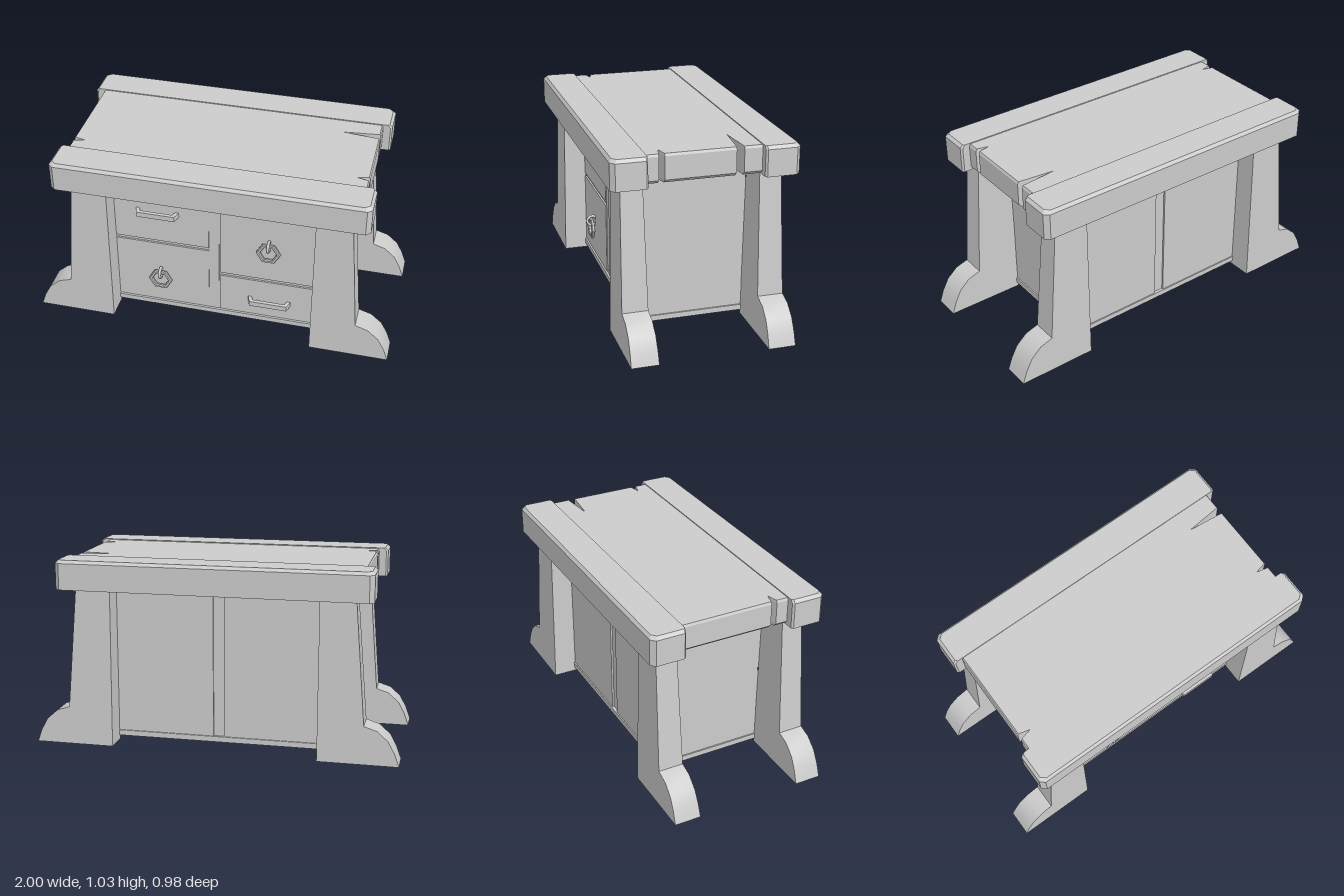
import * as THREE from 'three';
import { toCreasedNormals } from 'three/addons/utils/BufferGeometryUtils.js';

const grey = new THREE.MeshStandardMaterial({ color: 0xcccccc });
const greyDouble = new THREE.MeshStandardMaterial({ color: 0xcccccc, side: THREE.DoubleSide });

function add(parent, name, geometry, material = grey) {
  const mesh = new THREE.Mesh(geometry, material);
  mesh.name = name;
  parent.add(mesh);
  return mesh;
}

// Box given by its limits
function box(parent, name, x0, x1, y0, y1, z0, z1) {
  const mesh = add(parent, name, new THREE.BoxGeometry(x1 - x0, y1 - y0, z1 - z0));
  mesh.position.set((x0 + x1) / 2, (y0 + y1) / 2, (z0 + z1) / 2);
}

const shapeOf = (points) => new THREE.Shape(points.map(([x, y]) => new THREE.Vector2(x, y)));

const hexagon = (radius) => Array.from({ length: 6 }, (_, i) =>
  [radius * Math.cos(i * Math.PI / 3), radius * Math.sin(i * Math.PI / 3)]);

// Horizontal slab from an (x, z) outline; each level is [y, x scale, z scale], z scaled about zBase
function slab(outline, levels, zBase) {
  const steps = levels.length - 1;
  const geo = new THREE.ExtrudeGeometry(shapeOf(outline.map(([x, z]) => [x, -z])), { depth: steps, steps, bevelEnabled: false });
  geo.rotateX(-Math.PI / 2);
  const p = geo.attributes.position;
  for (let i = 0; i < p.count; i++) {
    const [y, sx, sz] = levels[Math.round(p.getY(i))];
    p.setXYZ(i, p.getX(i) * sx, y, zBase + (p.getZ(i) - zBase) * sz);
  }
  geo.computeVertexNormals();
  return geo;
}

// Leg with flared foot, tapering in depth towards the top, open underneath
function legGeometry() {
  const shape = shapeOf([[0.565, 0], [1, 0], [0.975, 0.07], [0.94, 0.135], [0.88, 0.188],
    [0.81, 0.21], [0.755, 0.88], [0.565, 0.88]]);
  const geo = new THREE.ExtrudeGeometry(shape, { depth: 2, bevelEnabled: false });
  geo.translate(0, 0, -1);
  const p = geo.attributes.position;
  const kept = [];
  for (let i = 0; i < p.count; i += 3) {
    if (p.getY(i) + p.getY(i + 1) + p.getY(i + 2) < 1e-4) continue;
    for (let j = i; j < i + 3; j++) {
      const y = p.getY(j);
      kept.push(p.getX(j), y, p.getZ(j) * (0.0725 - 0.017 * y));
    }
  }
  const open = new THREE.BufferGeometry();
  open.setAttribute('position', new THREE.Float32BufferAttribute(kept, 3));
  return toCreasedNormals(open, 0.55);
}

// Bracket handle with slanted ends
function barHandle(parent, x, y) {
  const shape = shapeOf([[-0.12, 0], [-0.105, 0.045], [0.105, 0.045], [0.12, 0],
    [0.1, 0], [0.09, 0.025], [-0.09, 0.025], [-0.1, 0]]);
  const geo = new THREE.ExtrudeGeometry(shape, { depth: 0.03, bevelEnabled: false });
  geo.rotateX(Math.PI / 2);
  add(parent, 'barHandle', geo).position.set(x, y + 0.015, 0.303);
}

// Hexagonal pull ring hanging from a small eye
function ringHandle(parent, x, y) {
  const handle = new THREE.Group();
  handle.name = 'ringHandle';
  const ring = shapeOf(hexagon(0.068));
  ring.holes.push(shapeOf(hexagon(0.045)));
  const geo = new THREE.ExtrudeGeometry(ring, { depth: 0.01, bevelThickness: 0.005, bevelSize: 0.005, bevelOffset: -0.005, bevelSegments: 1 });
  add(handle, 'pullRing', geo).position.z = 0.02;
  const eye = add(handle, 'eye', new THREE.TorusGeometry(0.029, 0.009, 6, 10));
  eye.rotation.y = Math.PI / 2;
  eye.position.set(0, 0.042, 0.02);
  handle.position.set(x, y, 0.303);
  parent.add(handle);
}

export function createModel() {
  const model = new THREE.Group();
  model.name = 'workbench';

  // Middle top board with splits in its ends
  const top = [[-0.8, 0.305], [0.8, 0.305], [0.8, 0.235], [0.735, 0.22], [0.8, 0.205],
    [0.8, -0.165], [0.6, -0.185], [0.8, -0.205], [0.8, -0.305], [-0.8, -0.305],
    [-0.8, 0.205], [-0.74, 0.22], [-0.8, 0.235]];
  add(model, 'middleTopBoard', slab(top,
    [[0.877, 0.975, 1], [0.895, 1, 1], [1.017, 1, 1], [1.03, 0.992, 1]], 0));

  // Front and back top boards with bevelled edges
  const edge = [[-0.84, 0.3], [0.84, 0.3], [0.85, 0.31], [0.85, 0.465], [0.825, 0.488],
    [-0.825, 0.488], [-0.85, 0.465], [-0.85, 0.31]];
  const edgeGeo = slab(edge, [[0.875, 1, 1], [1.018, 1, 1], [1.035, 0.982, 0.93]], 0.3);
  add(model, 'frontTopBoard', edgeGeo);
  add(model, 'backTopBoard', edgeGeo).rotation.y = Math.PI;

  // Four legs
  const legGeo = legGeometry();
  for (const side of [1, -1]) {
    for (const end of [1, -1]) {
      const leg = add(model, (end > 0 ? 'front' : 'back') + (side > 0 ? 'Left' : 'Right') + 'Leg', legGeo, greyDouble);
      leg.position.z = end * 0.3625;
      if (side < 0) leg.rotation.y = Math.PI;
    }
  }

  // Cabinet body
  const cabinet = new THREE.Group();
  cabinet.name = 'cabinet';
  model.add(cabinet);
  box(cabinet, 'cabinetBody', -0.567, 0.567, 0.045, 0.885, -0.293, 0.293);

  // Bottom rim
  for (const s of [-1, 1]) {
    box(cabinet, 'rimLong', -0.575, 0.575, 0.025, 0.055, s * 0.3 - 0.01, s * 0.3 + 0.01);
    box(cabinet, 'rimShort', s * 0.567 - 0.008, s * 0.567 + 0.008, 0.025, 0.055, -0.29, 0.29);
  }
  box(cabinet, 'bottomDivider', -0.035, 0.025, 0.038, 0.05, -0.29, 0.29);

  // Drawer and door fronts: [x0, x1, y0, y1]
  const fronts = [[-0.565, -0.035, 0.485, 0.88], [-0.565, -0.035, 0.06, 0.465],
    [0.03, 0.565, 0.325, 0.88], [0.03, 0.565, 0.06, 0.305]];
  for (const [x0, x1, y0, y1] of fronts) box(cabinet, 'drawerFront', x0, x1, y0, y1, 0.28, 0.303);
  box(cabinet, 'centrePost', -0.035, 0.022, 0.055, 0.88, 0.28, 0.298);

  // Back panels
  box(cabinet, 'backPanel', -0.565, -0.035, 0.055, 0.88, -0.303, -0.28);
  box(cabinet, 'backPanel', 0.025, 0.565, 0.055, 0.88, -0.303, -0.28);

  // Handles
  barHandle(cabinet, -0.32, 0.68);
  barHandle(cabinet, 0.31, 0.17);
  ringHandle(cabinet, -0.31, 0.23);
  ringHandle(cabinet, 0.303, 0.53);

  return model;
}
